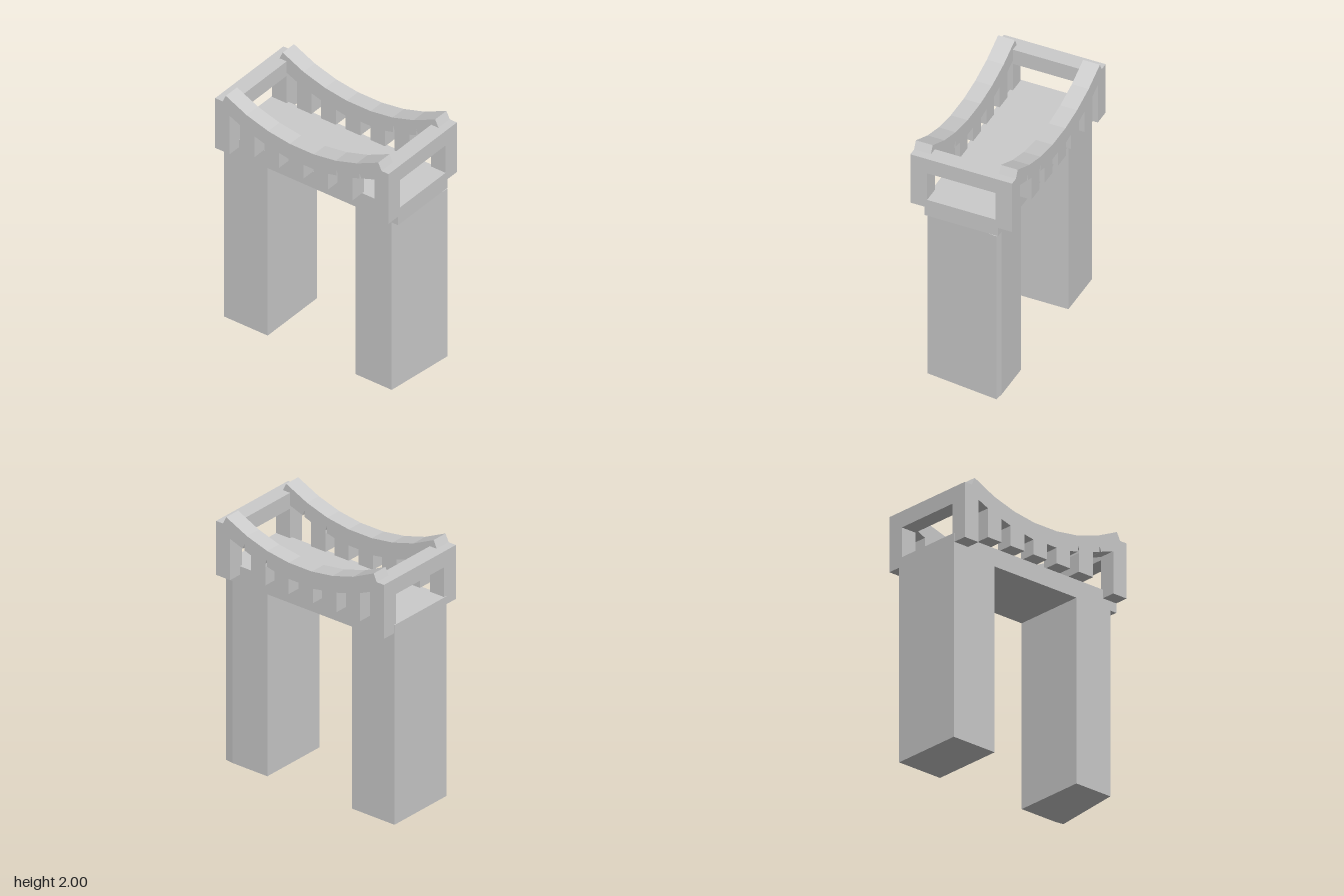
import * as THREE from 'three';

const material = new THREE.MeshStandardMaterial({ color: 0xcccccc, flatShading: true });

export function createModel() {
  const model = new THREE.Group();

  const add = (name, geometry) => {
    const mesh = new THREE.Mesh(geometry, material);
    mesh.name = name;
    model.add(mesh);
    return mesh;
  };

  // Box given by its limits on each axis
  const box = (name, [x0, x1], [y0, y1], [z0, z1]) => {
    const mesh = add(name, new THREE.BoxGeometry(x1 - x0, y1 - y0, z1 - z0));
    mesh.position.set((x0 + x1) / 2, (y0 + y1) / 2, (z0 + z1) / 2);
  };

  const extrude = (points, depth) => new THREE.ExtrudeGeometry(
    new THREE.Shape(points.map(([x, y]) => new THREE.Vector2(x, y))),
    { depth, bevelEnabled: false });

  const deckZ = 0.287, deckTop = 1.58, deckBottom = 1.44;

  // Two legs; the one at +x has a slightly skewed outer face
  box('rightLeg', [-0.775, -0.388], [0, deckBottom], [-deckZ, deckZ]);
  const footprint = [[0.385, -deckZ], [0.706, -deckZ], [0.77, 0.277], [0.705, deckZ], [0.385, deckZ]];
  add('leftLeg', extrude(footprint, deckBottom).rotateX(-Math.PI / 2));

  // Deck across the legs
  box('deck', [-0.775, 0.762], [deckBottom, deckTop], [-deckZ, deckZ]);

  // Sagging rail with balusters, cut as one outline
  const railTop = [[0.70, 1.94], [0.67, 2], [0.48, 1.912], [0.295, 1.856], [0.10, 1.828],
    [-0.11, 1.828], [-0.30, 1.856], [-0.49, 1.912], [-0.675, 2], [-0.703, 1.94]];
  // Upper edge of each gap between balusters, from -x to +x
  const gaps = [
    [[-0.64, 1.842], [-0.55, 1.803]],
    [[-0.422, 1.76], [-0.335, 1.735]],
    [[-0.205, 1.71], [-0.12, 1.695]],
    [[0.01, 1.70], [0.10, 1.70]],
    [[0.228, 1.715], [0.30, 1.732], [0.30, 1.785], [0.313, 1.75], [0.31, 1.725]],
    [[0.445, 1.773], [0.505, 1.793], [0.503, 1.845], [0.52, 1.80], [0.635, 1.84]],
  ];
  const outline = [...railTop, [-0.703, deckTop]];
  for (const gap of gaps) {
    outline.push([gap[0][0], deckTop], ...gap, [gap[gap.length - 1][0], deckTop]);
  }
  outline.push([0.70, deckTop]);

  const railIn = 0.265, railOut = 0.396;
  for (const [side, z0] of [['front', railIn], ['back', -railOut]]) {
    add(side + 'Rail', extrude(outline, railOut - railIn)).position.z = z0;
  }

  // End frames: corner posts joined by a top bar
  for (const [side, xs] of [['right', [-0.769, -0.64]], ['left', [0.635, 0.762]]]) {
    box(side + 'FrontPost', xs, [1.513, 1.94], [railIn, railOut]);
    box(side + 'BackPost', xs, [1.513, 1.94], [-railOut, -railIn]);
    box(side + 'TopBar', xs, [1.815, 1.94], [-railIn, railIn]);
  }

  return model;
}
